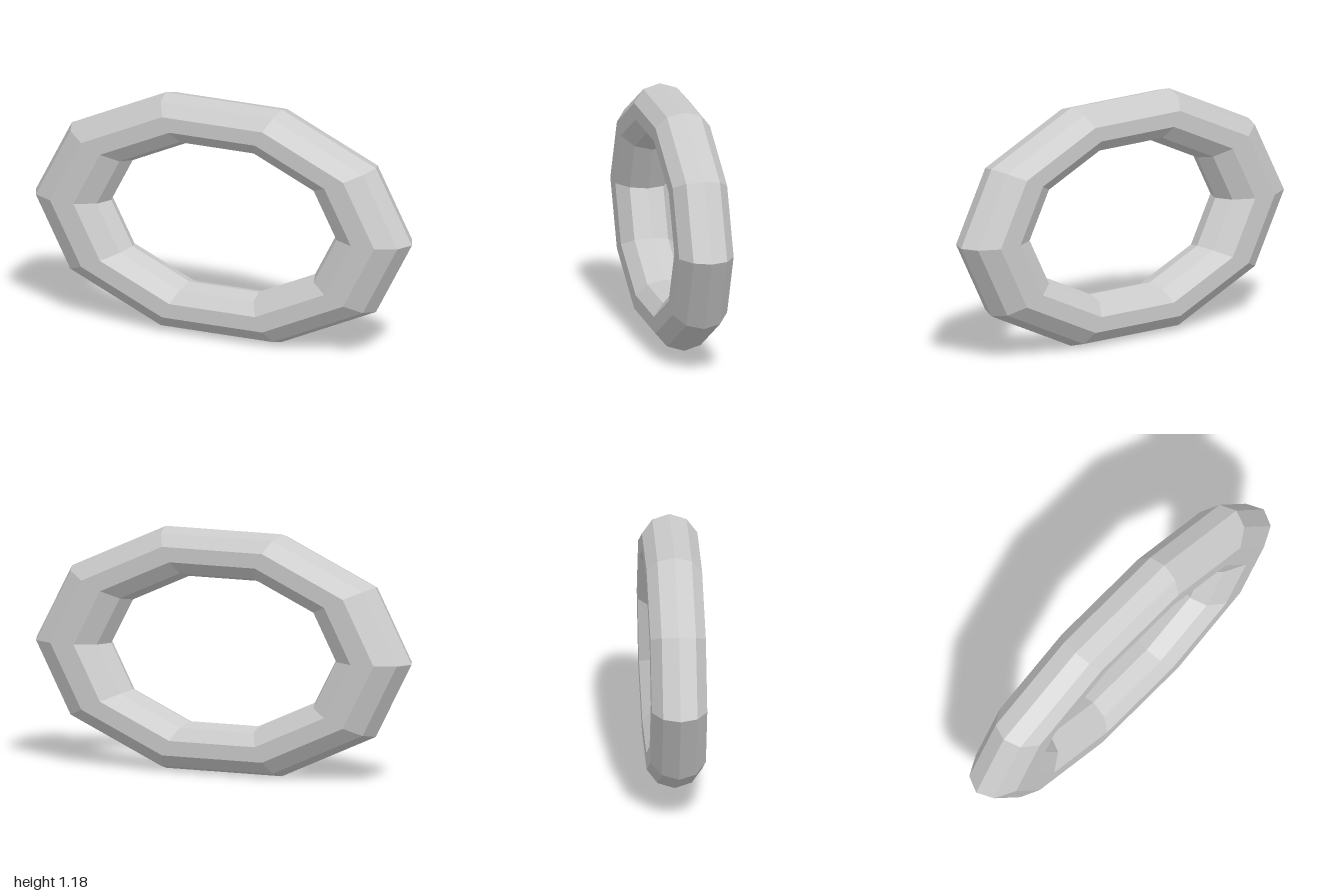
import * as THREE from 'three';

export function createModel() {
  const model = new THREE.Group();
  const material = new THREE.MeshStandardMaterial({ color: 0xcccccc, flatShading: true });

  // Ten-sided ring with a ten-sided section, squashed into an oval
  const heightScale = 0.618, depthScale = 0.7;
  const geometry = new THREE.TorusGeometry(0.8, 0.2, 10, 10);
  geometry.scale(1, heightScale, depthScale);

  // Stand the ring on the ground
  geometry.computeBoundingBox();
  geometry.translate(0, -geometry.boundingBox.min.y, 0);

  const ring = new THREE.Mesh(geometry, material);
  ring.name = 'ovalRing';
  model.add(ring);
  return model;
}
